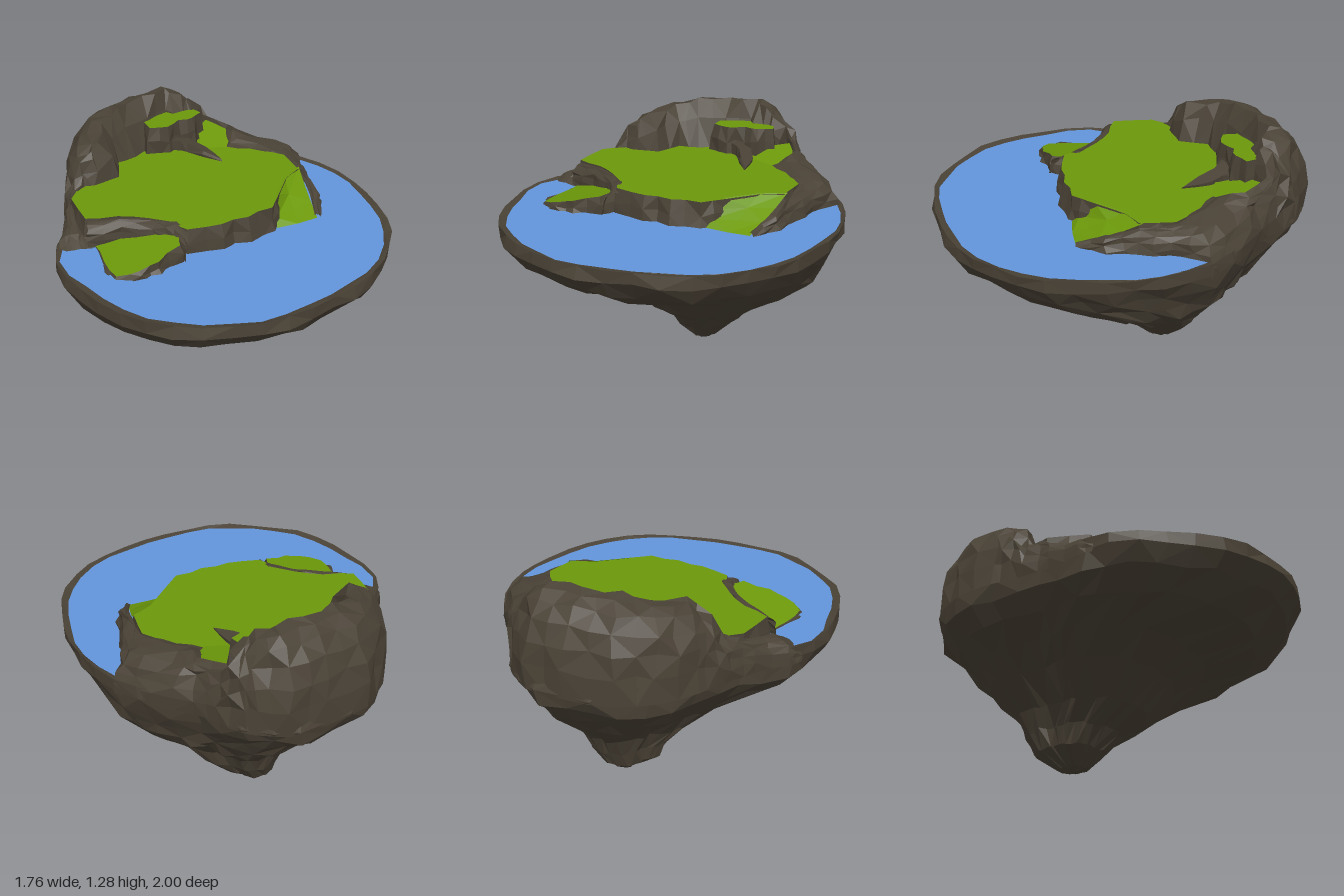
import * as THREE from 'three';

export function createModel() {
  const island = new THREE.Group();
  island.name = 'floatingIsland';

  const mat = (name, color) => {
    const m = new THREE.MeshStandardMaterial({ color, side: THREE.DoubleSide });
    m.name = name;
    return m;
  };
  const rock = mat('rock', 0x4a4236);
  const grass = mat('grass', 0x6c990a);
  const water = mat('water', 0x6396dc);

  // Small seeded generator for the rocky unevenness
  let seed = 11;
  const jit = (a) => {
    seed = (seed * 16807) % 2147483647;
    return (seed / 2147483647 - 0.5) * 2 * a;
  };

  const add = (name, geo, material) => {
    const mesh = new THREE.Mesh(geo, material);
    mesh.name = name;
    island.add(mesh);
  };

  // Faceted skin through rings of [x, y, z]; alternates the quad diagonals
  function skin(rings, closed) {
    const n = rings[0].length, pos = rings.flat(2), idx = [];
    for (let r = 0; r < rings.length - 1; r++) {
      for (let i = 0; i < (closed ? n : n - 1); i++) {
        const j = (i + 1) % n;
        const a = r * n + i, b = r * n + j, c = b + n, d = a + n;
        if ((i + r) % 2) idx.push(a, b, c, a, c, d);
        else idx.push(a, b, d, b, c, d);
      }
    }
    const g = new THREE.BufferGeometry();
    g.setAttribute('position', new THREE.Float32BufferAttribute(pos, 3));
    g.setIndex(idx);
    const flat = g.toNonIndexed();
    flat.computeVertexNormals();
    return flat;
  }

  // Top face over an [x, z] outline, height given by a function
  function topFace(pts, yAt) {
    const g = new THREE.ShapeGeometry(new THREE.Shape(pts.map(([x, z]) => new THREE.Vector2(x, -z))));
    g.rotateX(-Math.PI / 2);
    const p = g.attributes.position;
    for (let i = 0; i < p.count; i++) p.setY(i, yAt(p.getX(i), p.getZ(i)));
    g.computeVertexNormals();
    return g;
  }

  // Rock step: flared skirt with a cap
  function mesa(name, pts, yAt, base, flare, capMat) {
    const fine = [];
    pts.forEach(([x, z], i) => {
      const [u, w] = pts[(i + 1) % pts.length];
      fine.push([x, z], [(x + u) / 2 + jit(0.012), (z + w) / 2 + jit(0.012)]);
    });
    const n = fine.length;
    const ring = (t, wobble) => fine.map(([x, z], i) => {
      const p = fine[(i + n - 1) % n], q = fine[(i + 1) % n];
      const dx = q[0] - p[0], dz = q[1] - p[1], l = Math.hypot(dx, dz) || 1;
      const f = flare * (1 - t) + jit(wobble), y = yAt(x, z);
      return [x - (dz / l) * f, base + (y - base) * t + jit(wobble), z + (dx / l) * f];
    });
    add(name + 'Sides', skin([ring(0, 0.012), ring(0.55, 0.014), ring(1, 0)], true), rock);
    add(name + 'Top', topFace(fine, yAt), capMat);
  }

  // Craggy ridge from stations [outerX, outerZ, innerX, innerZ, crestHeight]
  function ridge(name, stations, outerY, innerY, rough) {
    const fine = [];
    stations.forEach((s, i) => {
      fine.push(s);
      const q = stations[i + 1];
      if (q) fine.push(s.map((v, k) => (v + q[k]) / 2 + jit(rough * 0.4)));
    });
    // [position across, share of height above base, inner side?]
    const profile = [[0, 0], [0.01, 0.3], [0.07, 0.54], [0.17, 0.73], [0.32, 0.89], [0.5, 0.97], [0.7, 1], [0.85, 0.6, 1], [1, 0, 1]];
    const rings = profile.map(([t, h, inner]) => fine.map(([ox, oz, ix, iz, H]) => {
      const y0 = inner ? Math.min(innerY, H - 0.01) : outerY;
      const r = h === 0 ? 0 : rough * Math.min(1, 0.3 + (H - 0.88) * 4);
      return [ox + (ix - ox) * t + jit(r), y0 + (H - y0) * h + jit(r * 0.6), oz + (iz - oz) * t + jit(r)];
    }));
    add(name, skin(rings, false), rock);
  }

  // Island rim seen from above
  const rim = [[-0.1, 1], [0.2, 0.95], [0.4, 0.88], [0.6, 0.77], [0.75, 0.6], [0.86, 0.4], [0.89, 0.1],
    [0.85, -0.2], [0.73, -0.45], [0.56, -0.6], [0.37, -0.71], [0.27, -0.81], [0.17, -0.92], [-0.02, -1],
    [-0.22, -0.95], [-0.45, -0.86], [-0.59, -0.7], [-0.67, -0.48], [-0.73, -0.2], [-0.84, 0], [-0.89, 0.2],
    [-0.82, 0.45], [-0.66, 0.75], [-0.4, 0.93]];
  const curve = new THREE.CatmullRomCurve3(rim.map(([x, z]) => new THREE.Vector3(x, 0, z)), true);
  const outline = curve.getSpacedPoints(42).slice(0, 42).map((p) => [p.x, p.z]);

  // Underside: levels of [y, minX, maxX, minZ, maxZ, roughness]
  const levels = [[0.015, -0.07, 0.05, -0.33, -0.16, 0.005], [0.1, -0.18, 0.14, -0.45, -0.08, 0.009],
    [0.2, -0.22, 0.26, -0.51, 0, 0.012], [0.3, -0.3, 0.36, -0.55, 0.145, 0.014],
    [0.45, -0.46, 0.56, -0.71, 0.3, 0.018], [0.55, -0.6, 0.7, -0.79, 0.46, 0.02],
    [0.63, -0.76, 0.75, -0.88, 0.75, 0.018], [0.73, -0.845, 0.82, -0.97, 0.92, 0.018],
    [0.82, -0.885, 0.875, -0.99, 1, 0.012], [0.887, -0.88, 0.88, -0.975, 0.985, 0.006]];
  const rings = levels.map(([y, x0, x1, z0, z1, r]) => outline.map(([x, z]) => [
    (x0 + x1) / 2 + (x / 0.89) * (x1 - x0) / 2 + jit(r),
    y + jit(r * 0.8),
    (z0 + z1) / 2 + z * (z1 - z0) / 2 + jit(r)]));
  rings.unshift(outline.map(() => [0, 0, -0.28]));
  const shore = outline.map(([x, z]) => [x * 0.955 + jit(0.009), z * 0.955 + jit(0.009)]);
  rings.push(shore.map(([x, z]) => [x, 0.876, z]));
  add('islandBody', skin(rings, true), rock);

  // Lake
  add('lake', topFace(shore, () => 0.879), water);

  // Meadow plateau
  mesa('meadow', [[-0.7, -0.2], [-0.68, 0.02], [-0.52, 0.05], [-0.38, 0.12], [-0.27, 0.2], [-0.23, 0.29],
    [-0.05, 0.3], [0.1, 0.28], [0.25, 0.235], [0.34, 0.11], [0.44, -0.03], [0.54, -0.1], [0.53, -0.28],
    [0.42, -0.4], [0.32, -0.6], [0.1, -0.72], [-0.2, -0.68], [-0.42, -0.5], [-0.6, -0.36]],
  () => 1.01, 0.86, 0.03, grass);

  // Lower step beside the meadow, tilting outward to the lake
  mesa('lowerStep', [[-0.66, 0.05], [-0.65, 0.25], [-0.63, 0.4], [-0.52, 0.43], [-0.42, 0.42], [-0.29, 0.36],
    [-0.26, 0.25], [-0.38, 0.12], [-0.52, 0.06]],
  (x) => 0.97 + (x + 0.3) * 0.24, 0.86, 0.025, grass);
  ridge('stepRidge', [[-0.69, 0.09, -0.67, 0.01, 0.99], [-0.52, 0.12, -0.52, 0.04, 1.012],
    [-0.38, 0.2, -0.36, 0.11, 1.012], [-0.29, 0.28, -0.25, 0.19, 1.012], [-0.27, 0.38, -0.2, 0.29, 0.99]],
  0.88, 0.98, 0.012);

  // Grass ramp down to the lake
  const ramp = (t) => {
    const y = 1.013 - 0.133 * t - 0.01 * Math.sin(t * Math.PI);
    return [[0.32 - 0.04 * t, y, 0.12 + 0.115 * t], [0.43 - 0.03 * t, y, -0.03 + 0.26 * t], [0.55 - 0.03 * t, y, -0.12 + 0.33 * t]];
  };
  add('ramp', skin([1, 0.66, 0.33, 0].map(ramp), false), grass);

  // Main cliff around the back, running down both sides
  ridge('cliff', [[0.55, 0.22, 0.51, 0.2, 0.9], [0.61, 0.07, 0.54, 0.06, 0.95], [0.62, -0.1, 0.54, -0.1, 0.99],
    [0.63, -0.26, 0.52, -0.26, 1.0], [0.71, -0.45, 0.44, -0.32, 1.01], [0.55, -0.6, 0.24, -0.46, 1.04],
    [0.37, -0.71, 0.32, -0.61, 1.06], [0.27, -0.81, 0.2, -0.74, 1.09], [0.19, -0.9, 0.12, -0.66, 1.2],
    [0.13, -0.94, 0.07, -0.64, 1.25], [-0.02, -0.995, 0, -0.67, 1.28], [-0.22, -0.95, -0.13, -0.62, 1.28],
    [-0.45, -0.86, -0.25, -0.53, 1.265], [-0.59, -0.7, -0.36, -0.5, 1.24], [-0.67, -0.5, -0.4, -0.34, 1.21],
    [-0.69, -0.4, -0.5, -0.31, 1.14], [-0.71, -0.31, -0.6, -0.29, 1.02], [-0.75, -0.17, -0.69, -0.18, 0.97],
    [-0.84, 0, -0.68, 0.02, 0.93], [-0.86, 0.08, -0.67, 0.1, 0.89]],
  0.8, 1.0, 0.018);

  // High grass ledge, sloping side patch and rock spur below the cliff
  mesa('highLedge', [[-0.17, -0.72], [-0.16, -0.56], [-0.06, -0.54], [0.02, -0.6], [0.1, -0.6], [0.17, -0.65],
    [0.12, -0.74], [-0.02, -0.78]], () => 1.16, 0.98, 0.025, grass);
  add('sidePatch', topFace([[0.12, -0.5], [0.26, -0.47], [0.36, -0.62], [0.25, -0.75], [0.16, -0.68]],
    (x, z) => 1.012 + (-0.47 - z) * 0.2), grass);
  mesa('rockSpur', [[-0.05, -0.55], [0.04, -0.5], [0.18, -0.33], [0.14, -0.48], [0.06, -0.6]],
    (x) => 1.07 - Math.max(0, x) * 0.28, 0.98, 0.01, rock);

  return island;
}
